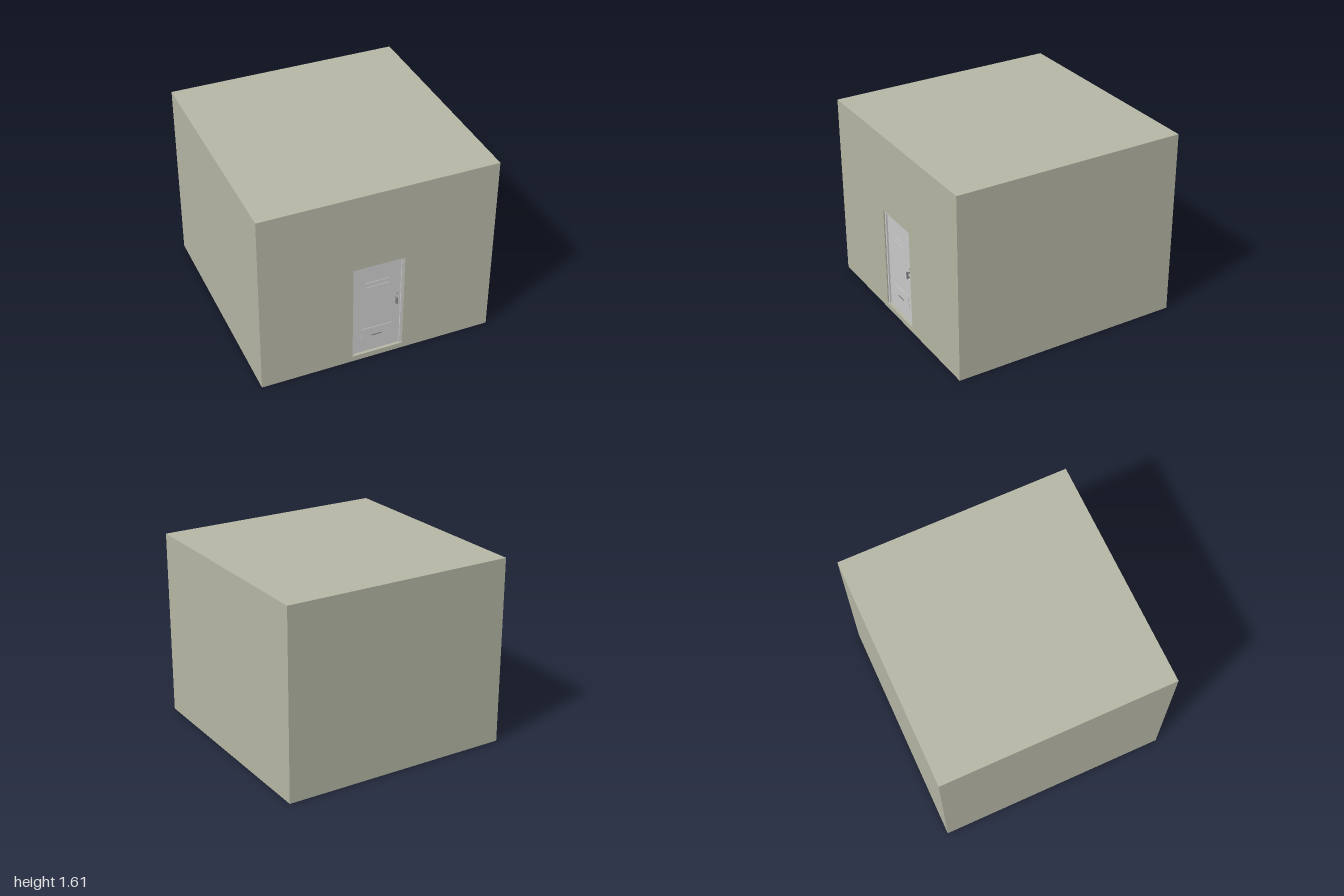
import * as THREE from 'three';

export function createModel() {
  const model = new THREE.Group();
  const paint = (name, color) => {
    const m = new THREE.MeshStandardMaterial({ color });
    m.name = name;
    return m;
  };
  const wall = paint('wall plaster', 0xb4b5a3);
  const doorGray = paint('door gray', 0xc8c8c8);
  const metal = paint('dark metal', 0x808080);

  const add = (name, geometry, material, parent = model) => {
    const mesh = new THREE.Mesh(geometry, material);
    mesh.name = name;
    parent.add(mesh);
    return mesh;
  };
  // box given by its limits on each axis
  const box = (name, material, [x0, x1], [y0, y1], [z0, z1], parent) => {
    const mesh = add(name, new THREE.BoxGeometry(x1 - x0, y1 - y0, z1 - z0), material, parent);
    mesh.position.set((x0 + x1) / 2, (y0 + y1) / 2, (z0 + z1) / 2);
    return mesh;
  };
  // rectangle outline, counter-clockwise
  const rect = (x0, x1, y0, y1) =>
    [[x0, y0], [x1, y0], [x1, y1], [x0, y1]].map(([x, y]) => new THREE.Vector2(x, y));

  const H = 1.61, FRONT = 0.997, BACK = 0.95, DOOR = 0.972;

  // building block behind the front wall
  box('building', wall, [-1, 1], [0, H], [-1, BACK]);

  // front wall with the doorway cut out
  const outline = new THREE.Shape(rect(-1, 1, 0, H));
  outline.holes.push(new THREE.Path(rect(-0.22, 0.22, 0.05, 0.93).reverse()));
  add('frontWall', new THREE.ExtrudeGeometry(outline, { depth: FRONT - BACK, bevelEnabled: false }), wall)
    .position.z = BACK;

  // frame on three sides of the doorway
  const frame = new THREE.Shape([
    [-0.22, 0.05], [-0.2, 0.05], [-0.2, 0.91], [0.2, 0.91],
    [0.2, 0.05], [0.22, 0.05], [0.22, 0.93], [-0.22, 0.93],
  ].map(([x, y]) => new THREE.Vector2(x, y)));
  add('doorFrame', new THREE.ExtrudeGeometry(frame, { depth: 0.036, bevelEnabled: false }), doorGray)
    .position.z = BACK;

  // door leaf with its raised details
  const door = new THREE.Group();
  door.name = 'door';
  model.add(door);
  box('doorLeaf', doorGray, [-0.2, 0.2], [0.05, 0.91], [BACK, DOOR], door);
  for (const y of [0.705, 0.75])
    box('ventSlat', doorGray, [-0.1, 0.1], [y - 0.004, y + 0.004], [DOOR, DOOR + 0.004], door);
  box('lowerPanel', doorGray, [-0.13, 0.13], [0.18, 0.285], [DOOR, DOOR + 0.004], door);

  // slot pull on the lower panel
  box('panelPull', metal, [-0.045, 0.04], [0.204, 0.212], [DOOR, DOOR + 0.01], door);

  // handle held off the door by two posts, and the lock above it
  box('handle', metal, [0.154, 0.167], [0.48, 0.542], [0.988, 1], door);
  for (const y of [0.49, 0.532])
    box('handlePost', metal, [0.156, 0.165], [y - 0.005, y + 0.005], [DOOR, 0.988], door);
  const lock = add('lock', new THREE.CylinderGeometry(0.004, 0.004, 0.008, 12), metal, door);
  lock.rotation.x = Math.PI / 2;
  lock.position.set(0.171, 0.57, DOOR + 0.004);

  return model;
}
